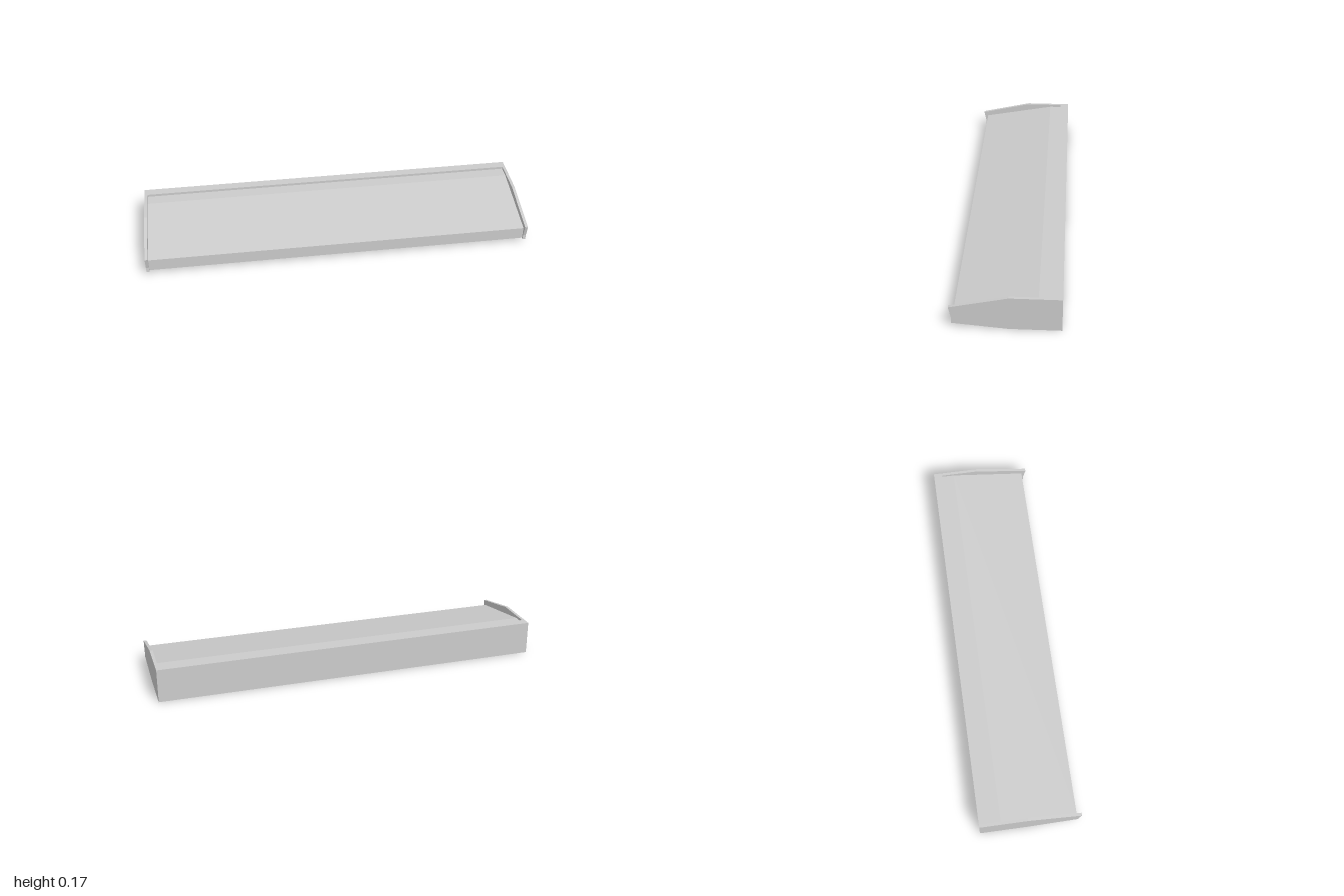
import * as THREE from 'three';

// Extrude a [z, y] profile along x, from x0 to x1
function extrudeAlongX(name, profile, x0, x1, material) {
  const shape = new THREE.Shape(profile.map(([z, y]) => new THREE.Vector2(-z, y)));
  const geometry = new THREE.ExtrudeGeometry(shape, { depth: x1 - x0, bevelEnabled: false });
  geometry.rotateY(Math.PI / 2);
  geometry.translate(x0, 0, 0);
  const mesh = new THREE.Mesh(geometry, material);
  mesh.name = name;
  return mesh;
}

export function createModel() {
  const group = new THREE.Group();
  group.name = 'slopedShelf';
  const material = new THREE.MeshStandardMaterial({ color: 0xcccccc, flatShading: true });
  const inner = 0.985;

  // Shelf body: raised rear rim, short flat, sloped deck, front face, recessed underside
  const body = [
    [-0.26, 0], [-0.16, 0], [-0.16, 0.012], [0.237, 0.025],
    [0.237, 0.09], [-0.15, 0.16], [-0.214, 0.16], [-0.214, 0.173], [-0.26, 0.173],
  ];
  group.add(extrudeAlongX('shelfBody', body, -inner, inner, material));

  // End plates standing proud of the deck, with a notched nose
  const plate = [
    [-0.26, 0], [-0.015, 0], [0.249, 0.024], [0.247, 0.05],
    [0.26, 0.112], [-0.015, 0.173], [-0.26, 0.173],
  ];
  group.add(extrudeAlongX('leftEndPlate', plate, inner, 1, material));
  group.add(extrudeAlongX('rightEndPlate', plate, -1, -inner, material));

  return group;
}
